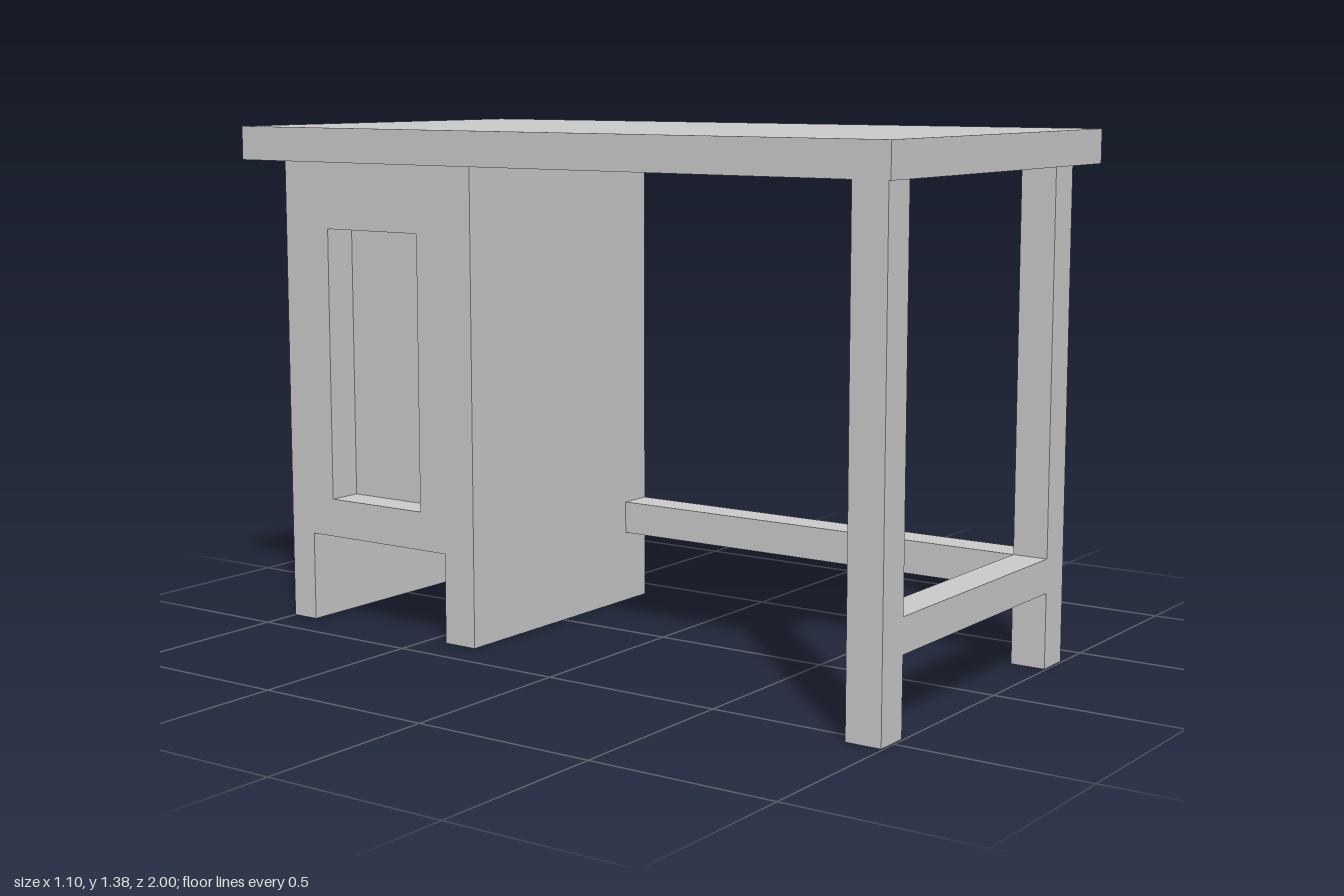
import * as THREE from 'three';

const material = new THREE.MeshStandardMaterial({ color: 0xcccccc, flatShading: true });

// Box given by its min and max along each axis
function addBox(group, name, [x0, x1], [y0, y1], [z0, z1]) {
  const mesh = new THREE.Mesh(new THREE.BoxGeometry(x1 - x0, y1 - y0, z1 - z0), material);
  mesh.position.set((x0 + x1) / 2, (y0 + y1) / 2, (z0 + z1) / 2);
  mesh.name = name;
  group.add(mesh);
}

// Cabinet side outline in (z, y), with the foot cut-out at the bottom
function cabinetOutline() {
  return new THREE.Shape([
    [-1, 0], [-0.92, 0], [-0.92, 0.245], [-0.44, 0.245],
    [-0.44, 0], [-0.34, 0], [-0.34, 1.29], [-1, 1.29],
  ].map(([z, y]) => new THREE.Vector2(z, y)));
}

// Extrude a (z, y) outline across x, from x1 down to x0
function addSlab(group, name, shape, x0, x1) {
  const geometry = new THREE.ExtrudeGeometry(shape, { depth: x1 - x0, bevelEnabled: false });
  geometry.rotateY(-Math.PI / 2);
  const mesh = new THREE.Mesh(geometry, material);
  mesh.position.x = x1;
  mesh.name = name;
  group.add(mesh);
}

export function createModel() {
  const desk = new THREE.Group();
  desk.name = 'desk';

  addBox(desk, 'tabletop', [-0.55, 0.55], [1.29, 1.38], [-1, 1]);

  // Front legs and the rails joining them to each other and to the cabinet
  const legZ = [0.9, 0.995], railY = [0.2, 0.29];
  addBox(desk, 'outerLeg', [-0.55, -0.455], [0, 1.29], legZ);
  addBox(desk, 'innerLeg', [0.295, 0.39], [0, 1.29], legZ);
  addBox(desk, 'frontRail', [-0.455, 0.295], railY, legZ);
  addBox(desk, 'sideRail', [0.295, 0.39], railY, [-0.34, 0.9]);

  // Cabinet: body plus a framed face with a recessed panel on the -x side
  const cabinet = new THREE.Group();
  cabinet.name = 'cabinet';
  addSlab(cabinet, 'cabinetBody', cabinetOutline(), -0.295, 0.39);

  const frame = cabinetOutline();
  frame.holes.push(new THREE.Path([
    [-0.845, 0.35], [-0.845, 1.1], [-0.525, 1.1], [-0.525, 0.35],
  ].map(([z, y]) => new THREE.Vector2(z, y))));
  addSlab(cabinet, 'cabinetFaceFrame', frame, -0.39, -0.295);
  desk.add(cabinet);

  return desk;
}
